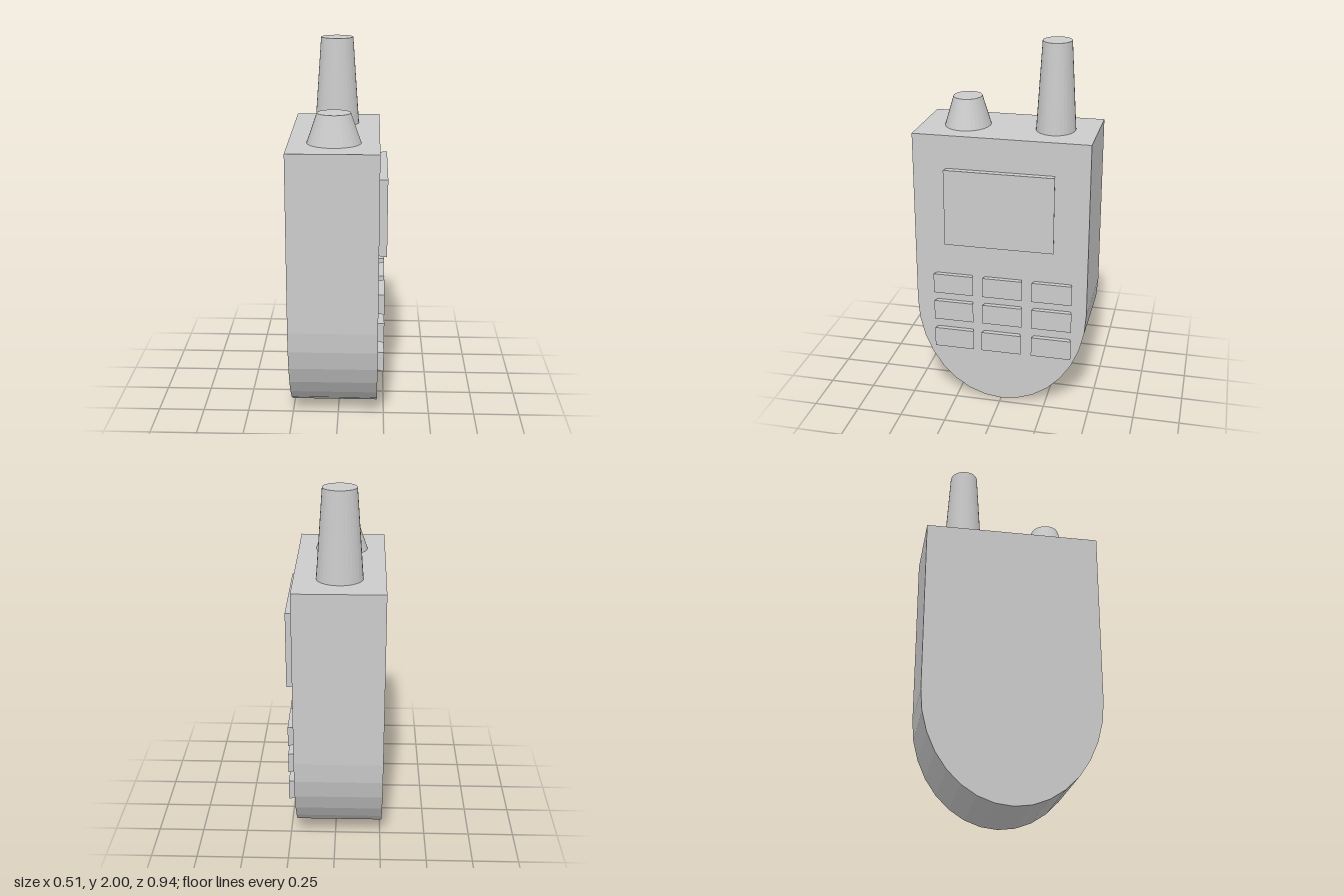
import * as THREE from 'three';

const BACK = -0.257, FACE = 0.213; // x of the rear plate and of the keypad face
const SHOULDER = 1.53;             // y of the flat top
const AXIS = -0.022;               // x of the antenna and knob

export function createModel() {
  const group = new THREE.Group();
  const material = new THREE.MeshStandardMaterial({ color: 0xcccccc, flatShading: true });

  function add(name, geometry, x = 0, y = 0, z = 0) {
    const mesh = new THREE.Mesh(geometry, material);
    mesh.name = name;
    mesh.position.set(x, y, z);
    group.add(mesh);
    return mesh;
  }

  // Body: straight sides closing in a half ellipse, extruded along x
  const halfWidth = 0.47, curveHeight = 0.575, steps = 16;
  const outline = [new THREE.Vector2(halfWidth, SHOULDER), new THREE.Vector2(-halfWidth, SHOULDER)];
  for (let i = 0; i <= steps; i++) {
    const a = Math.PI * (1 + i / steps);
    outline.push(new THREE.Vector2(halfWidth * Math.cos(a), curveHeight * (1 + Math.sin(a))));
  }
  const body = new THREE.ExtrudeGeometry(new THREE.Shape(outline), { depth: FACE - BACK, bevelEnabled: false });
  body.rotateY(Math.PI / 2);
  add('body', body, BACK);

  // Tapered round posts on top, slightly oval
  function post(name, z, bottomRadius, topRadius, height) {
    const geometry = new THREE.CylinderGeometry(topRadius, bottomRadius, height, 32);
    geometry.scale(1, 1, 0.873);
    add(name, geometry, AXIS, SHOULDER + height / 2, z);
  }
  post('antenna', -0.247, 0.12, 0.087, 0.47);
  post('knob', 0.228, 0.14, 0.087, 0.155);

  // Raised panels that flare slightly away from the face
  function panel(name, y, z, height, width, depth, flareY, flareZ) {
    const geometry = new THREE.BoxGeometry(depth, height, width);
    const p = geometry.attributes.position;
    for (let i = 0; i < p.count; i++) {
      if (p.getX(i) > 0) continue;
      p.setY(i, p.getY(i) - Math.sign(p.getY(i)) * flareY);
      p.setZ(i, p.getZ(i) - Math.sign(p.getZ(i)) * flareZ);
    }
    geometry.computeVertexNormals();
    add(name, geometry, FACE + depth / 2, y, z);
  }
  panel('screen', 1.146, 0.001, 0.418, 0.588, 0.043, 0.003, 0.007);

  // Keypad: three rows of three
  [0.697, 0.536, 0.368].forEach((y, row) => {
    [0.256, row === 2 ? -0.009 + 0.001 : -0.014, -0.285].forEach((z, column) => {
      panel(`button${row * 3 + column + 1}`, y, z, 0.111, 0.219, 0.033, 0.003, 0.01);
    });
  });

  return group;
}
